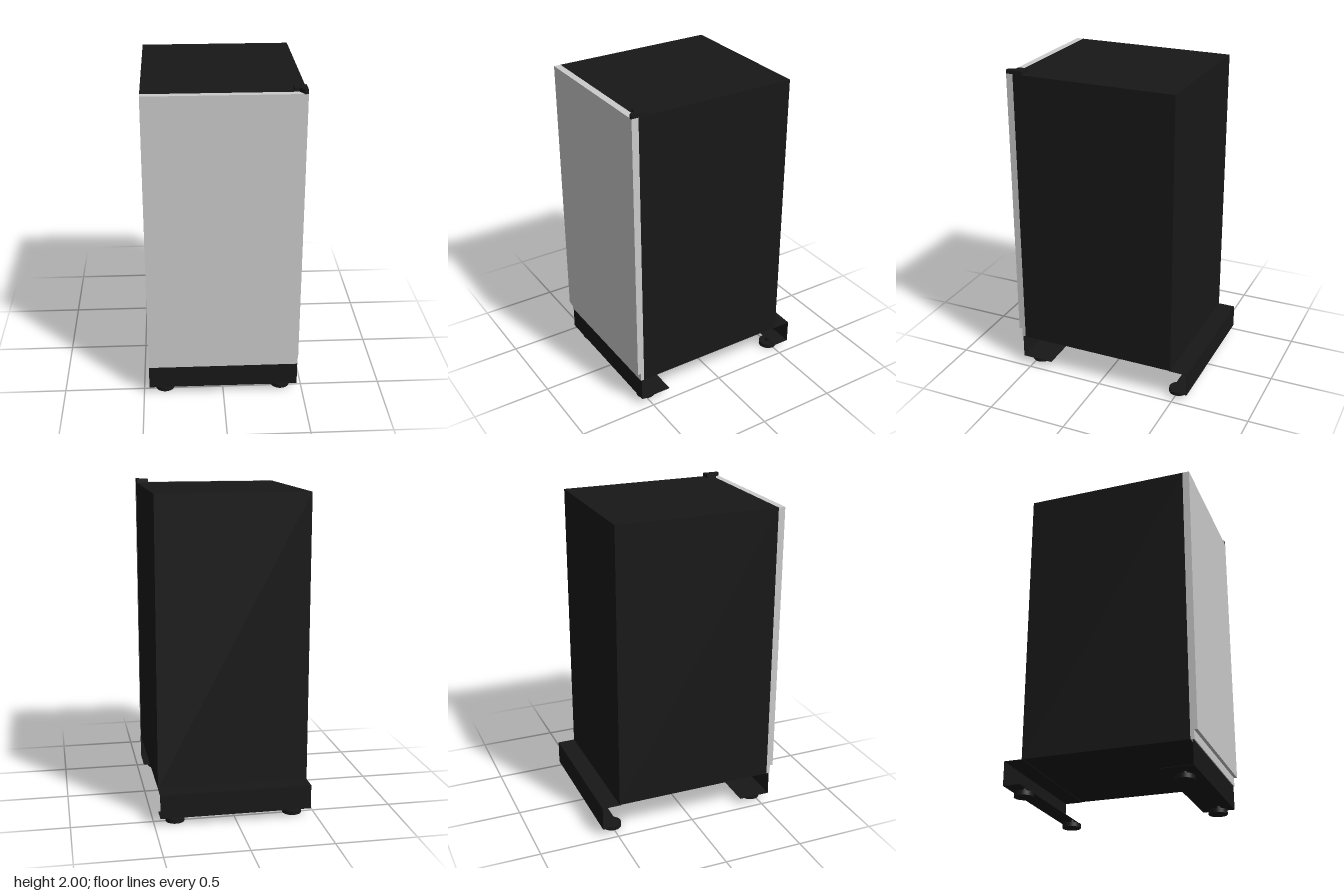
import * as THREE from 'three';

const HALF = 0.466; // half width shared by body, door and base

export function createModel() {
  const model = new THREE.Group();
  const grey = new THREE.MeshStandardMaterial({ color: 0xcccccc });
  const black = new THREE.MeshStandardMaterial({ color: 0x181818 });

  function add(name, geometry, material, parent = model) {
    const mesh = new THREE.Mesh(geometry, material);
    mesh.name = name;
    parent.add(mesh);
    return mesh;
  }

  // Full-width slab given by its y and z limits
  function slab(name, y0, y1, z0, z1, material, parent) {
    const mesh = add(name, new THREE.BoxGeometry(HALF * 2, y1 - y0, z1 - z0), material, parent);
    mesh.position.set(0, (y0 + y1) / 2, (z0 + z1) / 2);
    return mesh;
  }

  // Cabinet, door and the recessed strip below the door
  slab('cabinet', 0.2, 1.977, -0.476, 0.545, black);
  slab('door', 0.255, 1.977, 0.545, 0.588, grey);
  slab('lowerStrip', 0.2, 0.255, 0.545, 0.568, grey);

  // Hinge plate with a tapered nose over the door corner
  const outline = [[0.392, 0.485], [HALF, 0.485], [HALF, 0.588], [0.445, 0.588], [0.42, 0.545], [0.392, 0.545]];
  const plate = new THREE.Shape(outline.map(([x, z]) => new THREE.Vector2(x, -z)));
  const hinge = add('topHinge', new THREE.ExtrudeGeometry(plate, { depth: 0.025, bevelEnabled: false }), black);
  hinge.rotation.x = -Math.PI / 2;
  hinge.position.y = 1.975;

  // Folded sheet base, open at the sides
  const t = 0.003;
  const base = new THREE.Group();
  base.name = 'base';
  model.add(base);
  slab('frontKickPanel', 0.05, 0.2, 0.562 - t, 0.562, black, base);
  slab('frontBottomFlange', 0.05, 0.05 + t, 0.36, 0.562 - t, black, base);
  slab('rearPanel', 0.05, 0.2, -0.588, -0.588 + t, black, base);
  slab('rearTopFlange', 0.2 - t, 0.2, -0.588 + t, -0.47, black, base);
  slab('rearBottomFlange', 0.05, 0.05 + t, -0.588 + t, -0.48, black, base);

  // Levelling feet: a round pad on a short stem
  for (const x of [-0.367, 0.367]) {
    for (const z of [0.48, -0.498]) {
      const foot = new THREE.Group();
      foot.name = 'foot';
      foot.position.set(x, 0, z);
      model.add(foot);
      add('footPad', new THREE.CylinderGeometry(0.059, 0.059, 0.027, 32), black, foot).position.y = 0.0135;
      add('footStem', new THREE.CylinderGeometry(0.016, 0.016, 0.024, 20), black, foot).position.y = 0.039;
    }
  }
  return model;
}
